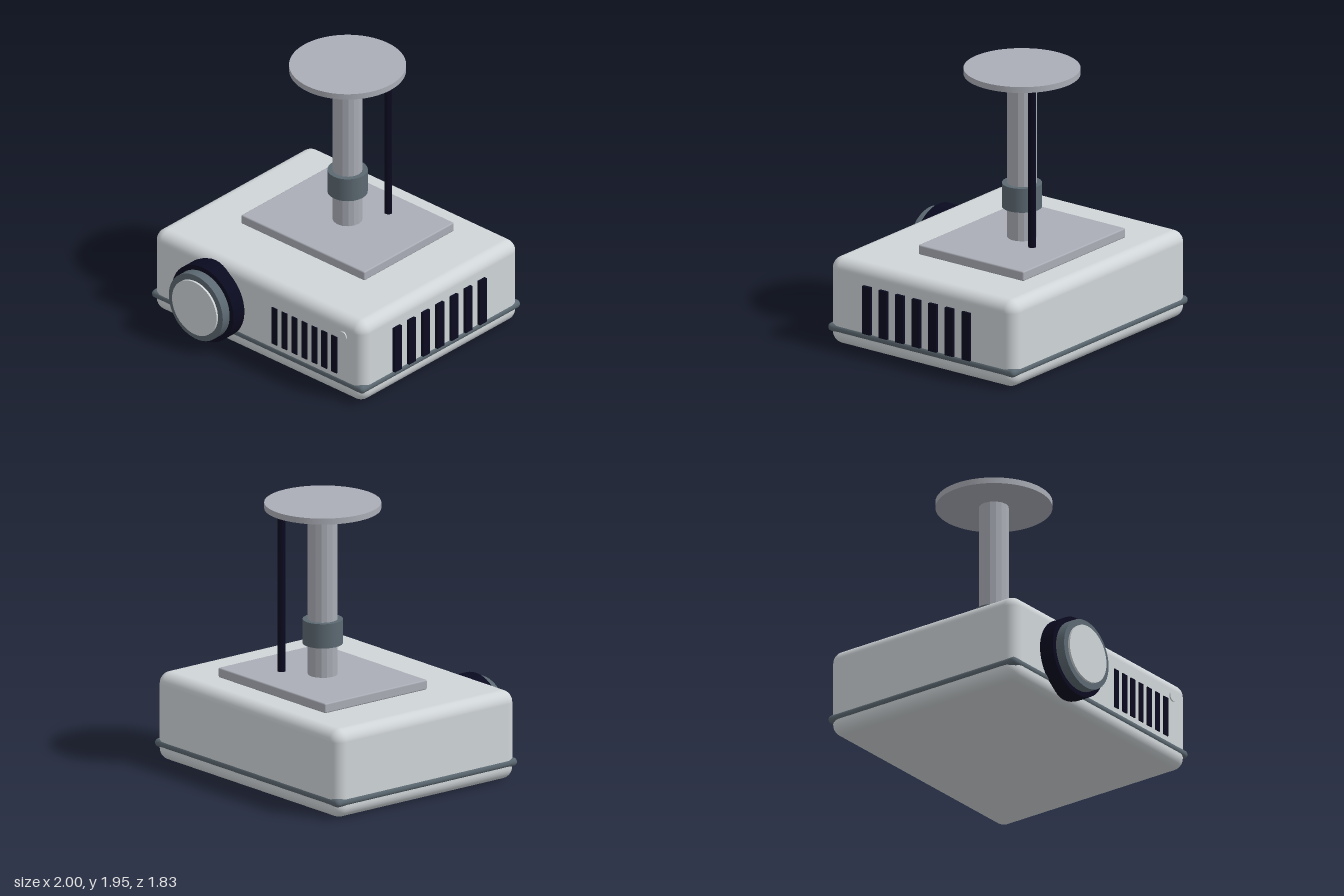
import * as THREE from 'three';
import { RoundedBoxGeometry } from 'three/addons/geometries/RoundedBoxGeometry.js';

const mat = (name, color) => {
  const m = new THREE.MeshStandardMaterial({ color });
  m.name = name;
  return m;
};

export function createModel() {
  const group = new THREE.Group();
  const shell = mat('light grey shell', 0xd0d5d8);
  const metal = mat('mount grey', 0xaaadb6);
  const trim = mat('slate trim', 0x5c6972);
  const dark = mat('near black', 0x0a0a20);

  const add = (name, geometry, material, x, y, z) => {
    const mesh = new THREE.Mesh(geometry, material);
    mesh.name = name;
    mesh.position.set(x, y, z);
    group.add(mesh);
    return mesh;
  };
  // Upright cylinder between two heights
  const post = (name, r, y0, y1, x, z, material, sides) =>
    add(name, new THREE.CylinderGeometry(r, r, y1 - y0, sides), material, x, (y0 + y1) / 2, z);
  // Cylinder facing the front between two depths
  const barrel = (name, r, z0, z1, x, y, material) => {
    const g = new THREE.CylinderGeometry(r, r, z1 - z0, 48).rotateX(Math.PI / 2);
    return add(name, g, material, x, y, (z0 + z1) / 2);
  };

  // Housing
  const cx = -0.01, cz = -0.097;
  add('housing', new RoundedBoxGeometry(1.97, 0.635, 1.62, 6, 0.085), shell, cx, 0.3175, cz);

  // Trim band with slightly swollen corners
  add('trimBand', new RoundedBoxGeometry(1.985, 0.06, 1.632, 4, 0.029), trim, cx, 0.12, cz);
  for (const sx of [-1, 1]) for (const sz of [-1, 1]) {
    const g = new THREE.SphereGeometry(0.065, 20, 12).scale(1, 0.56, 1);
    add('trimCorner', g, trim, cx + sx * 0.929, 0.12, cz + sz * 0.752);
  }

  // Lens
  barrel('lensHood', 0.289, 0.6, 0.825, -0.415, 0.32, dark);
  barrel('lensRing', 0.253, 0.7, 0.895, -0.415, 0.32, trim);
  barrel('lensFace', 0.208, 0.8, 0.911, -0.415, 0.32, shell);

  // Front and side vents
  for (let i = 0; i < 7; i++) {
    add('frontVent', new THREE.BoxGeometry(0.05, 0.29, 0.03), dark, 0.16 + i * 0.0932, 0.32, 0.706);
    add('sideVent', new THREE.BoxGeometry(0.04, 0.35, 0.07), dark, 0.977, 0.318, 0.363 - i * 0.1447);
  }

  // Sensor button
  barrel('sensor', 0.034, 0.69, 0.722, 0.8, 0.497, shell);

  // Ceiling mount
  add('mountPlate', new RoundedBoxGeometry(1.155, 0.07, 0.92, 2, 0.01), metal, -0.012, 0.673, -0.218);
  const px = -0.012, pz = -0.218;
  const metalFlat = post('pole', 0.104, 0.7, 1.91, px, pz, metal, 16);
  metalFlat.geometry = metalFlat.geometry.toNonIndexed();
  metalFlat.geometry.computeVertexNormals();
  post('collar', 0.14, 0.93, 1.105, px, pz, trim, 24);
  post('ceilingDisc', 0.405, 1.902, 1.945, px, pz, metal, 64);
  post('cable', 0.028, 0.73, 1.905, 0.163, -0.443, dark, 12);

  return group;
}
